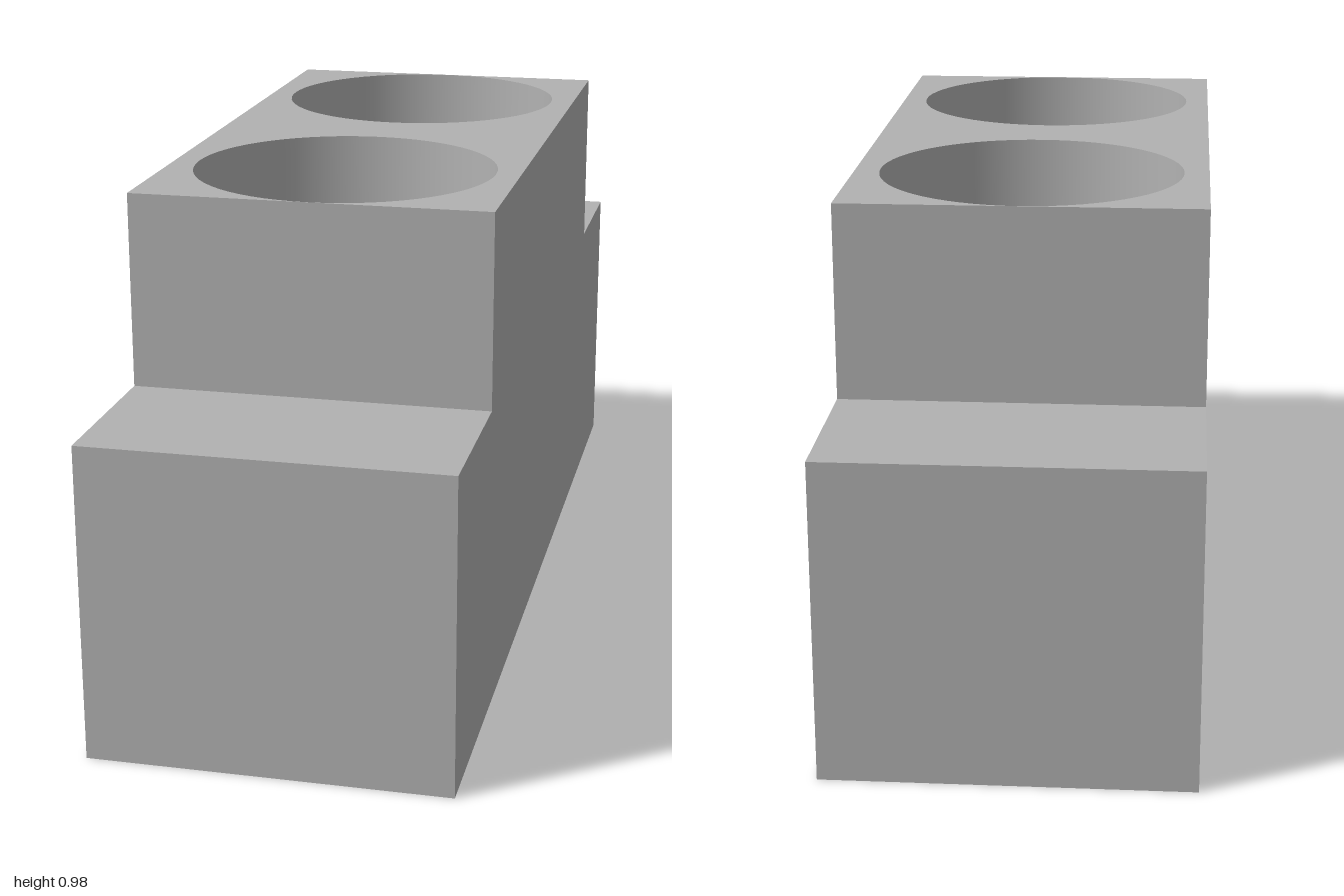
import * as THREE from 'three';

const HALF_W = 0.342, HALF_L = 1, HALF_TOP = 0.665; // plan sizes
const STEP_Y = 0.607, TOP_Y = 0.98, SEAT_Y = 0.5; // levels
const BORE_Z = 0.37, BORE_R = 0.294, HOLE_R = 0.168, SEG = 64;

export function createModel() {
  const group = new THREE.Group();
  const steel = new THREE.MeshStandardMaterial({ color: 0xb2b2b2 });
  steel.name = 'grey steel';

  const add = (name, geometry, x = 0, y = 0, z = 0) => {
    const mesh = new THREE.Mesh(geometry, steel);
    mesh.name = name;
    mesh.position.set(x, y, z);
    group.add(mesh);
  };

  // rectangle in plan with two round openings
  const drilledPlate = (halfLength, radius) => {
    const shape = new THREE.Shape([
      [-HALF_W, -halfLength], [HALF_W, -halfLength], [HALF_W, halfLength], [-HALF_W, halfLength],
    ].map(([x, y]) => new THREE.Vector2(x, y)));
    for (const s of [-1, 1]) {
      const circle = [];
      for (let i = 0; i < SEG; i++) {
        const a = (i / SEG) * Math.PI * 2;
        circle.push(new THREE.Vector2(radius * Math.sin(a), s * BORE_Z + radius * Math.cos(a)));
      }
      shape.holes.push(new THREE.Path(circle));
    }
    return new THREE.ShapeGeometry(shape);
  };

  // top and bottom faces
  add('topFace', drilledPlate(HALF_TOP, BORE_R).rotateX(-Math.PI / 2), 0, TOP_Y);
  add('bottomFace', drilledPlate(HALF_L, HOLE_R).rotateX(Math.PI / 2));

  // stepped side faces
  const profile = new THREE.Shape([
    [-HALF_L, 0], [HALF_L, 0], [HALF_L, STEP_Y], [HALF_TOP, STEP_Y],
    [HALF_TOP, TOP_Y], [-HALF_TOP, TOP_Y], [-HALF_TOP, STEP_Y], [-HALF_L, STEP_Y],
  ].map(([x, y]) => new THREE.Vector2(x, y)));
  for (const s of [-1, 1]) {
    add(s > 0 ? 'leftSide' : 'rightSide',
      new THREE.ShapeGeometry(profile).rotateY(s * Math.PI / 2), s * HALF_W);
  }

  // end walls, ledges and risers, front and back
  for (const s of [-1, 1]) {
    const end = s > 0 ? 'front' : 'back';
    const turn = s > 0 ? 0 : Math.PI;
    const wall = (h) => new THREE.PlaneGeometry(2 * HALF_W, h).rotateY(turn);
    add(end + 'Wall', wall(STEP_Y), 0, STEP_Y / 2, s * HALF_L);
    add(end + 'Riser', wall(TOP_Y - STEP_Y), 0, (TOP_Y + STEP_Y) / 2, s * HALF_TOP);
    add(end + 'Ledge',
      new THREE.PlaneGeometry(2 * HALF_W, HALF_L - HALF_TOP).rotateX(-Math.PI / 2),
      0, STEP_Y, s * (HALF_L + HALF_TOP) / 2);

    // counterbored screw hole, each band separate to keep its rims sharp
    const band = (r1, y1, r2, y2) => new THREE.LatheGeometry(
      [new THREE.Vector2(r1, y1), new THREE.Vector2(r2, y2)], SEG);
    add(end + 'Counterbore', band(BORE_R, TOP_Y, BORE_R, SEAT_Y), 0, 0, s * BORE_Z);
    add(end + 'ScrewSeat', band(BORE_R, SEAT_Y, HOLE_R, SEAT_Y), 0, 0, s * BORE_Z);
    add(end + 'ScrewHole', band(HOLE_R, SEAT_Y, HOLE_R, 0), 0, 0, s * BORE_Z);
  }

  return group;
}
